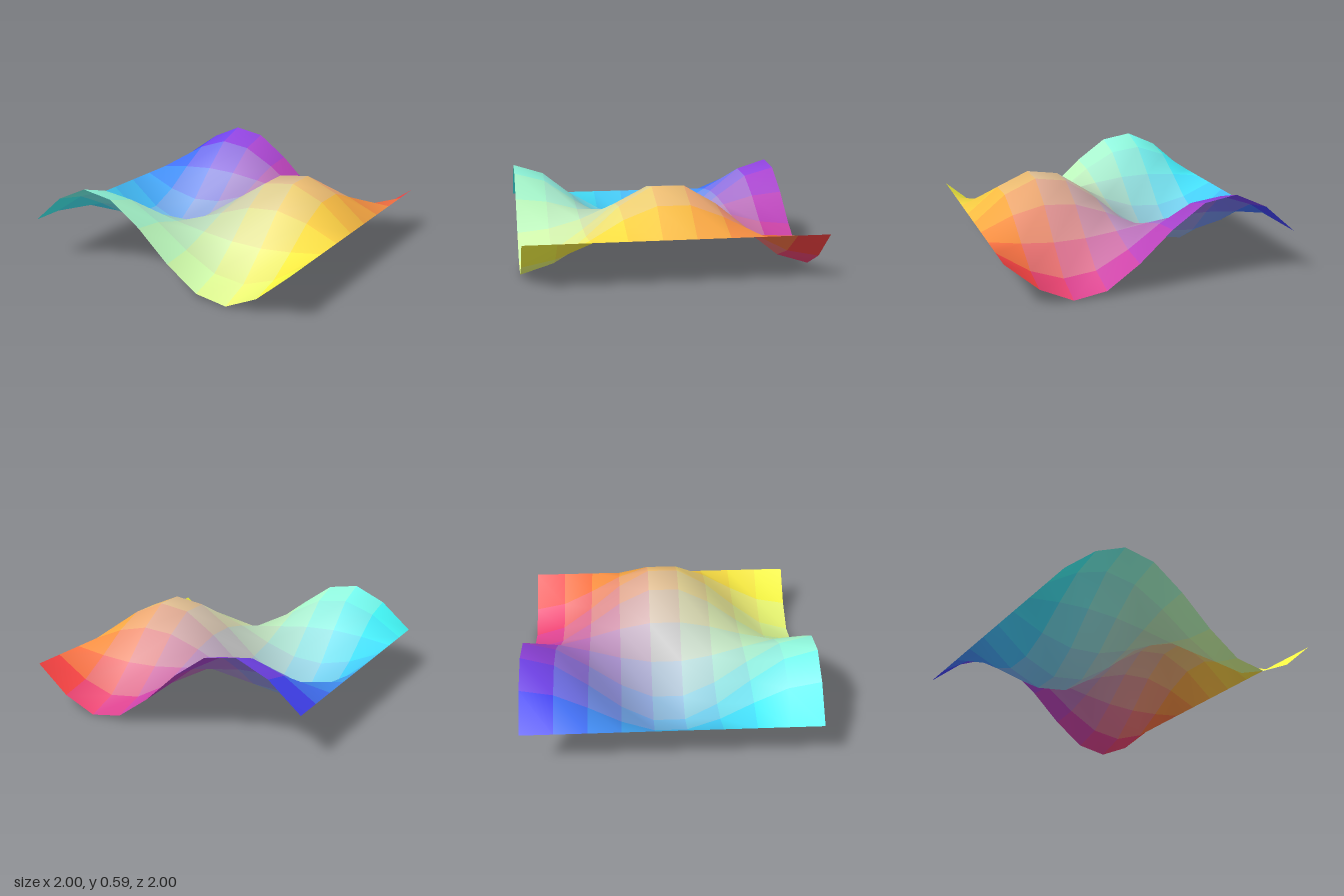
import * as THREE from 'three';

const CELLS = 9;        // grid cells per side
const AMPLITUDE = 0.3;  // wave height
const MID = 0.295;      // resting level, so the lowest point sits on y = 0

// Square sheet raised into a double sine wave
function waveGeometry() {
  const geometry = new THREE.PlaneGeometry(2, 2, CELLS, CELLS);
  geometry.rotateX(-Math.PI / 2);
  const p = geometry.attributes.position;
  for (let i = 0; i < p.count; i++) {
    const wave = Math.sin(Math.PI * p.getX(i)) * Math.cos(Math.PI * p.getZ(i));
    p.setY(i, MID + AMPLITUDE * wave);
  }
  geometry.computeVertexNormals();
  return geometry;
}

export function createModel() {
  const model = new THREE.Group();
  model.name = 'waveSurface';

  // One colour per cell: red grows with x, blue fades with x, green grows with z
  const geometry = waveGeometry();
  const materials = [];
  for (let row = 0; row < CELLS; row++) {
    for (let col = 0; col < CELLS; col++) {
      const u = (col + 0.5) / CELLS;
      const v = (row + 0.5) / CELLS;
      geometry.addGroup(materials.length * 6, 6, materials.length);
      materials.push(new THREE.MeshStandardMaterial({
        color: new THREE.Color(u, v, 1 - u),
        side: THREE.DoubleSide,
      }));
    }
  }

  const sheet = new THREE.Mesh(geometry, materials);
  sheet.name = 'wavySheet';
  model.add(sheet);
  return model;
}
